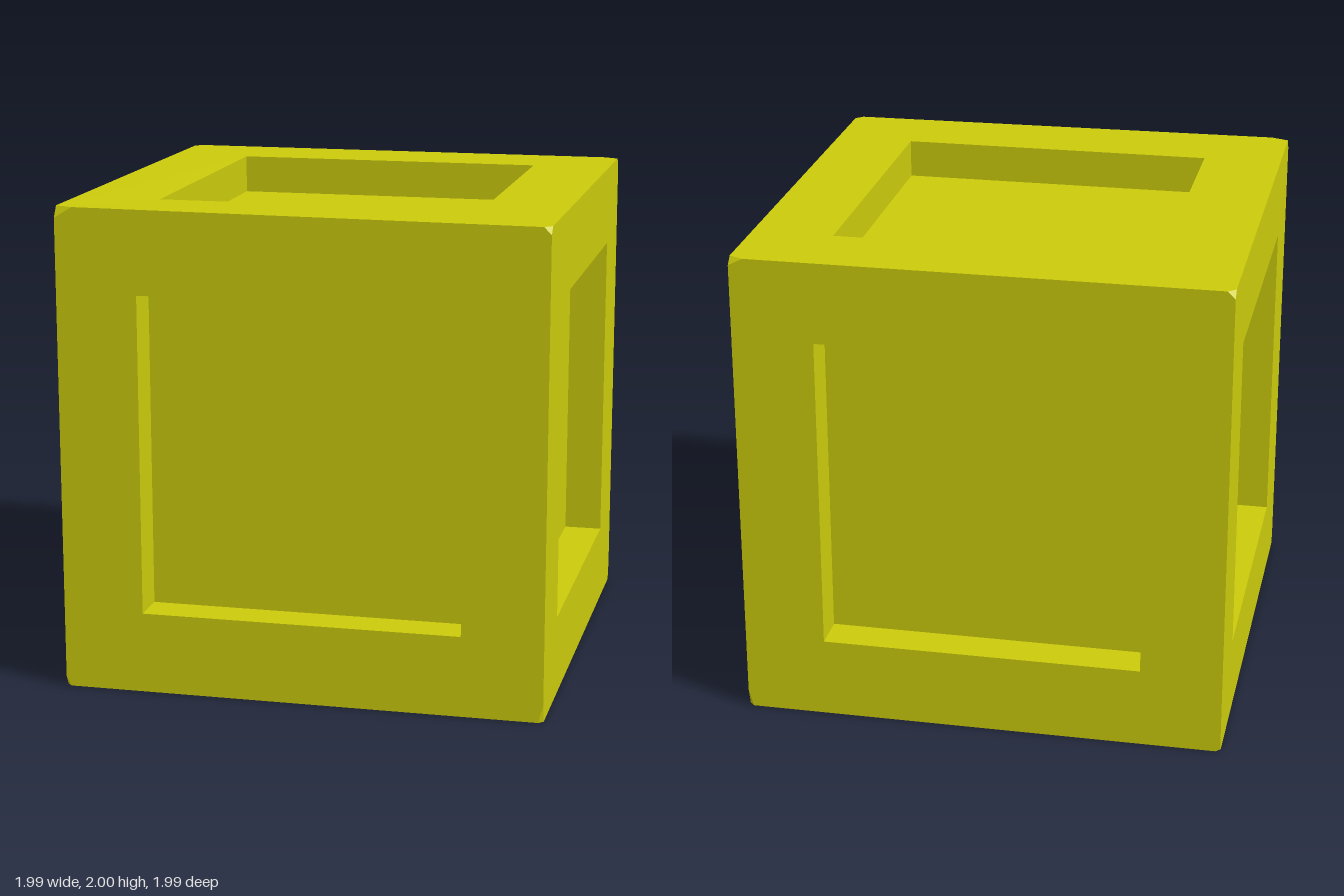
import * as THREE from 'three';
import { mergeGeometries } from 'three/addons/utils/BufferGeometryUtils.js';

const H = 0.995;      // half size of the cube
const R = 0.66;       // half width of the panel recess
const DEPTH = 0.16;   // recess depth

// Length worn off each of the three edges meeting at a corner
const CUTS = {
  '-1,1,1': [0.075, 0.035, 0.03],
  '1,1,1': [0.03, 0.03, 0.03],
  '-1,1,-1': [0.03, 0.03, 0.03],
  '1,1,-1': [0.06, 0.03, 0.03],
  '-1,-1,1': [0.02, 0.04, 0.02],
  '1,-1,1': [0.02, 0.075, 0.02],
  '-1,-1,-1': [0.02, 0.04, 0.02],
  '1,-1,-1': [0.02, 0.075, 0.02],
};
const cutsAt = (c) => CUTS[c.toArray().map(Math.round).join(',')];

// Raise the top front corner slightly, then facet the surface
function finish(geometry) {
  const g = geometry.index ? geometry.toNonIndexed() : geometry;
  const p = g.attributes.position;
  for (let i = 0; i < p.count; i++) {
    if (p.getX(i) < -0.9 && p.getY(i) > H - 0.001 && p.getZ(i) > 0.9) p.setY(i, H + 0.01);
  }
  g.computeVertexNormals();
  return g;
}

// One side of the cube: outline with worn corners, optionally with a hole
function faceGeometry(u, v, n, recessed) {
  const axisOf = (d) => d.toArray().findIndex((k) => Math.abs(k) > 0.5);
  const points = [];
  for (const [su, sv] of [[-1, -1], [1, -1], [1, 1], [-1, 1]]) {
    const corner = n.clone().addScaledVector(u, su).addScaledVector(v, sv);
    const cut = cutsAt(corner);
    const a = new THREE.Vector2(su * (H - cut[axisOf(u)]), sv * H);
    const b = new THREE.Vector2(su * H, sv * (H - cut[axisOf(v)]));
    points.push(...(su * sv > 0 ? [b, a] : [a, b]));
  }
  const shape = new THREE.Shape(points);
  if (recessed) {
    shape.holes.push(new THREE.Path([[-R, -R], [-R, R], [R, R], [R, -R]].map(([x, y]) => new THREE.Vector2(x, y))));
  }
  return new THREE.ShapeGeometry(shape).translate(0, 0, H);
}

// Four inward-facing walls around the recess
function wallGeometry() {
  const walls = [];
  for (let i = 0; i < 4; i++) {
    walls.push(new THREE.PlaneGeometry(2 * R, DEPTH)
      .rotateX(Math.PI / 2)
      .translate(0, R, H - DEPTH / 2)
      .rotateZ(i * Math.PI / 2));
  }
  return mergeGeometries(walls);
}

export function createModel() {
  const group = new THREE.Group();
  group.name = 'crate';
  const yellow = new THREE.MeshStandardMaterial({ color: 0xcccc0c });
  yellow.name = 'yellow';

  const body = new THREE.Group();
  body.name = 'body';
  body.position.y = H;
  group.add(body);

  const add = (name, geometry) => {
    const mesh = new THREE.Mesh(finish(geometry), yellow);
    mesh.name = name;
    body.add(mesh);
  };

  // Six sides; all but the bottom carry a sunken panel
  const sides = [
    ['front', [1, 0, 0], [0, 1, 0]],
    ['back', [-1, 0, 0], [0, 1, 0]],
    ['left', [0, 0, -1], [0, 1, 0]],
    ['right', [0, 0, 1], [0, 1, 0]],
    ['top', [1, 0, 0], [0, 0, -1]],
    ['bottom', [1, 0, 0], [0, 0, 1]],
  ];
  for (const [name, uu, vv] of sides) {
    const u = new THREE.Vector3(...uu);
    const v = new THREE.Vector3(...vv);
    const n = u.clone().cross(v);
    const matrix = new THREE.Matrix4().makeBasis(u, v, n);
    const recessed = name !== 'bottom';
    add(name + (recessed ? 'Frame' : 'Face'), faceGeometry(u, v, n, recessed).applyMatrix4(matrix));
    if (recessed) {
      add(name + 'RecessWalls', wallGeometry().applyMatrix4(matrix));
      add(name + 'Panel', new THREE.PlaneGeometry(2 * R, 2 * R).translate(0, 0, H - DEPTH).applyMatrix4(matrix));
    }
  }

  // Small triangular facets closing the worn corners
  const chips = [];
  for (const x of [-1, 1]) for (const y of [-1, 1]) for (const z of [-1, 1]) {
    const corner = new THREE.Vector3(x, y, z);
    const cut = cutsAt(corner);
    const tri = [0, 1, 2].map((axis) => {
      const p = corner.clone().multiplyScalar(H);
      p.setComponent(axis, corner.getComponent(axis) * (H - cut[axis]));
      return p;
    });
    if (x * y * z < 0) tri.reverse();
    chips.push(new THREE.BufferGeometry().setFromPoints(tri));
  }
  add('cornerFacets', mergeGeometries(chips));

  return group;
}
